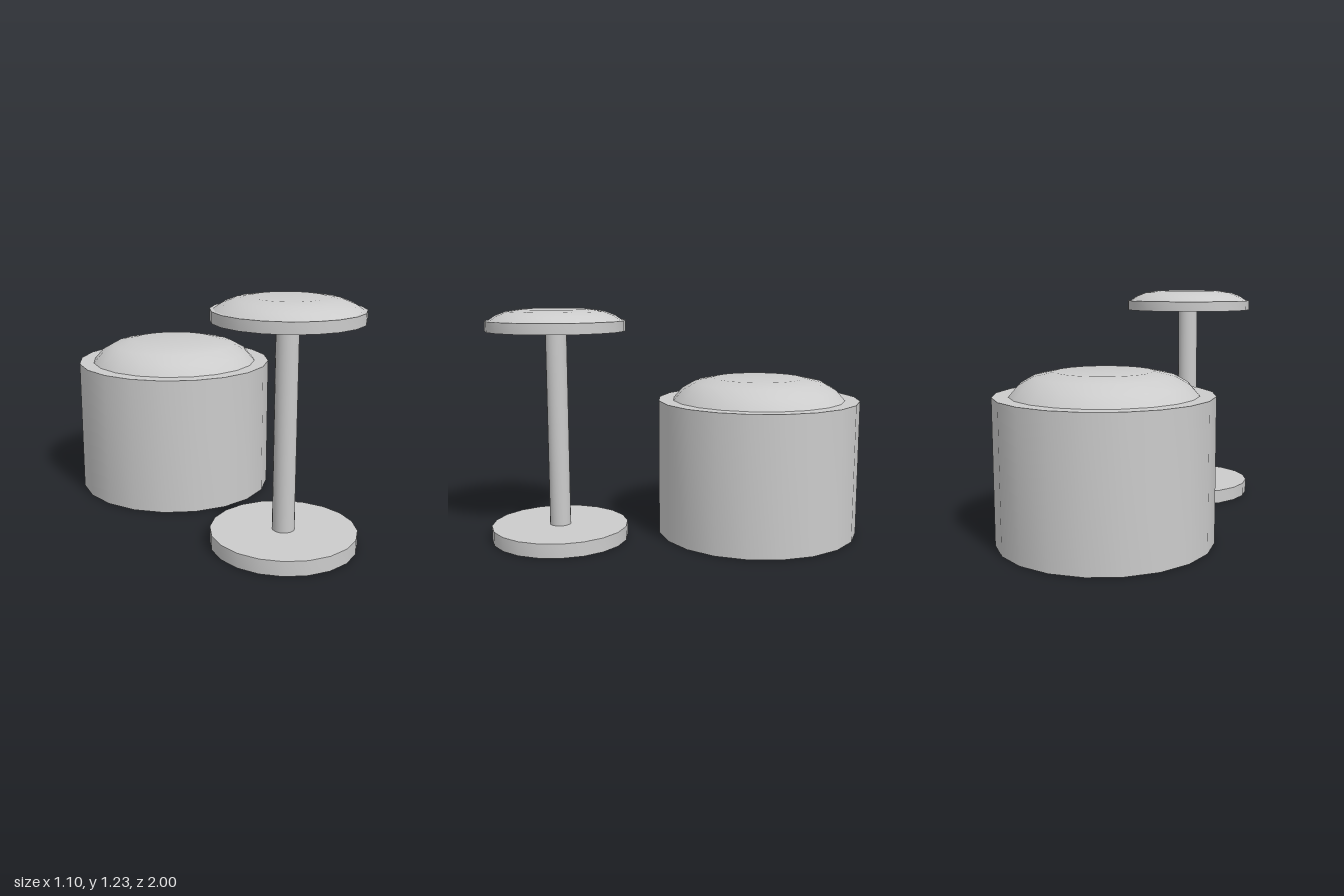
import * as THREE from 'three';
import { toCreasedNormals } from 'three/addons/utils/BufferGeometryUtils.js';

const SIDES = 20;
const material = new THREE.MeshStandardMaterial({ color: 0xcccccc, side: THREE.DoubleSide });

// Turned part from [radius, height] pairs, smooth around and sharp at the rims
function turned(name, profile) {
  const points = profile.map(([r, y]) => new THREE.Vector2(r, y));
  const geometry = toCreasedNormals(new THREE.LatheGeometry(points, SIDES), THREE.MathUtils.degToRad(32));
  const mesh = new THREE.Mesh(geometry, material);
  mesh.name = name;
  return mesh;
}

export function createModel() {
  const model = new THREE.Group();
  model.name = 'drumAndStool';

  // Large drum, open underneath, with a flat rim around a domed top
  const drum = new THREE.Group();
  drum.name = 'drum';
  drum.position.z = -0.453;
  drum.add(
    turned('drumBody', [[0.548, 0], [0.548, 0.735], [0.468, 0.735]]),
    turned('drumDome', [[0.468, 0.735], [0.42, 0.79], [0.35, 0.83], [0.245, 0.852], [0, 0.852]]),
  );

  // Pedestal stool: hollow foot, open tube, closed seat plate and low cushion
  const stool = new THREE.Group();
  stool.name = 'stool';
  stool.position.z = 0.635;
  stool.add(
    turned('stoolFoot', [[0.365, 0], [0.365, 0.075], [0.056, 0.075]]),
    turned('stoolPole', [[0.056, 0.075], [0.056, 1.115]]),
    turned('stoolSeat', [[0.056, 1.115], [0.365, 1.115], [0.365, 1.17], [0.348, 1.17]]),
    turned('stoolCushion', [[0.348, 1.17], [0.31, 1.196], [0.255, 1.217], [0.18, 1.228], [0, 1.228]]),
  );

  model.add(drum, stool);
  return model;
}
